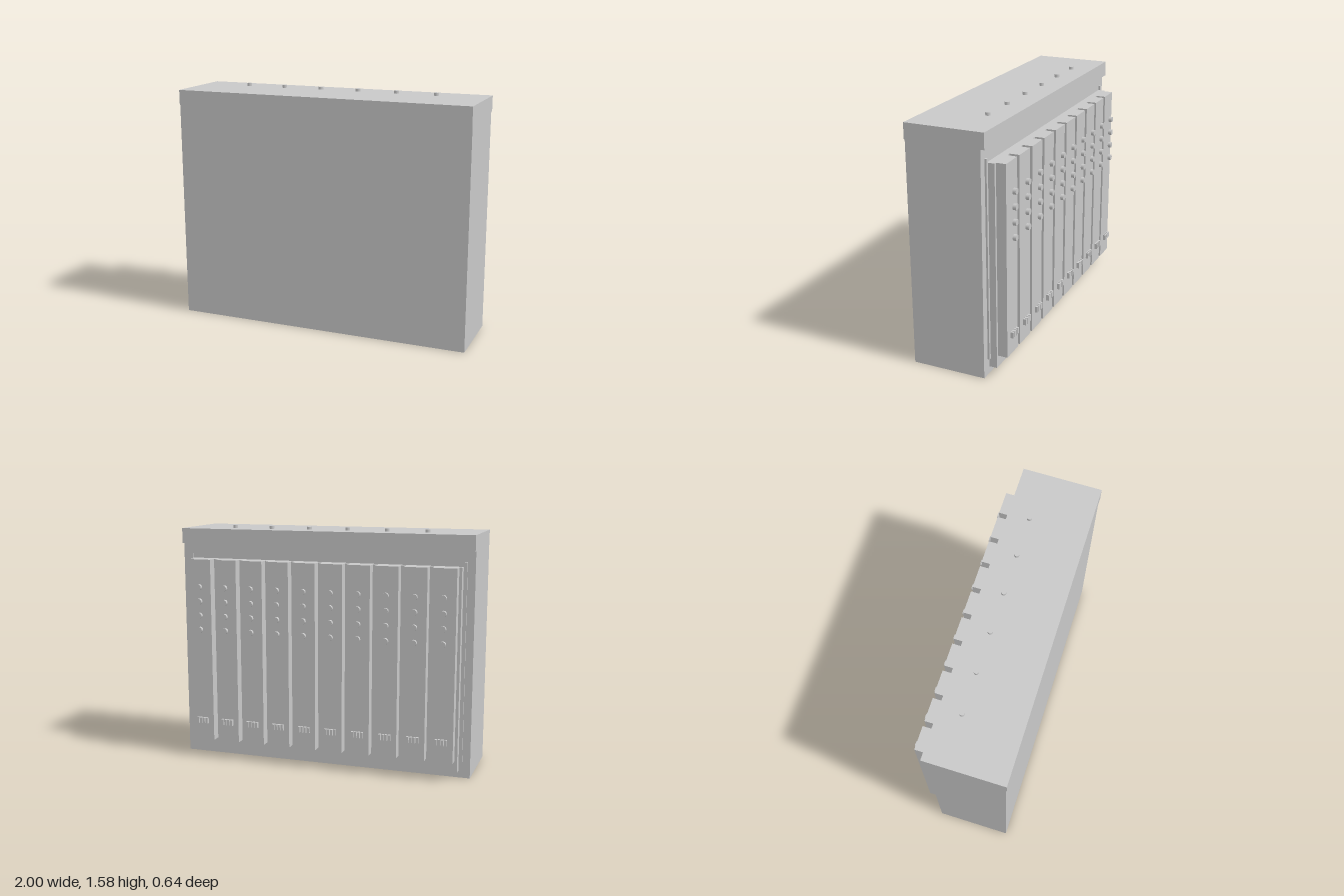
import * as THREE from 'three';

export function createModel() {
  const model = new THREE.Group();
  const grey = new THREE.MeshStandardMaterial({ color: 0xc8c8c8 });
  grey.name = 'light grey';

  function add(parent, name, geometry, x = 0, y = 0, z = 0) {
    const mesh = new THREE.Mesh(geometry, grey);
    mesh.name = name;
    mesh.position.set(x, y, z);
    parent.add(mesh);
    return mesh;
  }

  // Box given by its limits on each axis
  function box(parent, name, [x0, x1], [y0, y1], [z0, z1]) {
    return add(parent, name, new THREE.BoxGeometry(x1 - x0, y1 - y0, z1 - z0),
      (x0 + x1) / 2, (y0 + y1) / 2, (z0 + z1) / 2);
  }

  // Cabinet with a slightly overhanging lid
  box(model, 'cabinet', [-1, 1], [0, 1.462], [-0.172, 0.314]);
  box(model, 'lid', [-1, 1], [1.462, 1.564], [-0.197, 0.32]);

  // Row of bolts on the lid
  const boltGeometry = new THREE.CylinderGeometry(0.016, 0.016, 0.019, 16);
  for (let i = 0; i < 6; i++) {
    add(model, 'lidBolt', boltGeometry, (i - 2.5) * 0.2667, 1.5735, -0.057);
  }

  // Back panel with a thin rail at each side
  box(model, 'backPanel', [-0.925, 0.925], [0.044, 1.365], [-0.222, -0.172]);
  for (const side of [-1, 1]) {
    add(model, 'sideRail', new THREE.BoxGeometry(0.018, 1.288, 0.012), side * 0.941, 0.751, -0.178);
  }

  // Ten modules, each with four knobs and a row of switches
  const moduleGeometry = new THREE.BoxGeometry(0.152, 1.244, 0.063);
  const knobGeometry = new THREE.CylinderGeometry(0.02, 0.02, 0.021, 12).rotateX(Math.PI / 2);
  const switchGeometry = new THREE.BoxGeometry(0.016, 0.04, 0.019);
  for (let i = 0; i < 10; i++) {
    const unit = new THREE.Group();
    unit.name = 'moduleUnit';
    unit.position.x = (i - 4.5) * 0.1847;
    add(unit, 'moduleBody', moduleGeometry, 0, 0.743, -0.2535);
    for (let k = 0; k < 4; k++) {
      add(unit, 'knob', knobGeometry, 0, 1.181 - k * 0.0963, -0.3085);
      add(unit, 'switch', switchGeometry, (k - 1.5) * 0.0215, 0.26, -0.3005);
    }
    model.add(unit);
  }

  return model;
}
